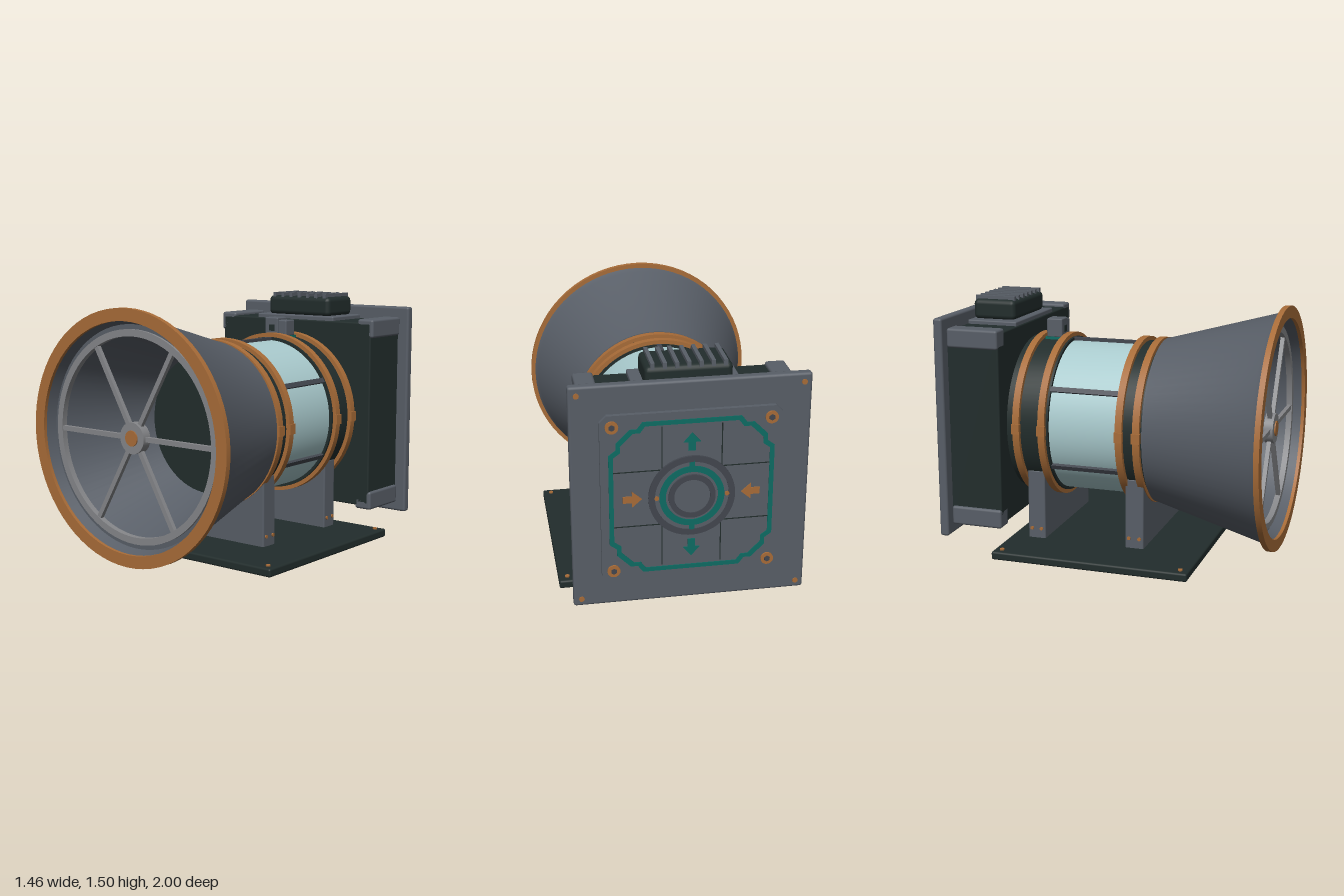
import * as THREE from 'three';
import { toCreasedNormals } from 'three/addons/utils/BufferGeometryUtils.js';
import { RoundedBoxGeometry } from 'three/addons/geometries/RoundedBoxGeometry.js';

const AXIS = 0.755; // height of the barrel axis
const paint = (name, color) => Object.assign(new THREE.MeshStandardMaterial({ color }), { name });

export function createModel() {
  const steel = paint('slate steel', 0x585e67);
  const frame = paint('dark frame steel', 0x42464e);
  const dark = paint('dark green casing', 0x222d2c);
  const copper = paint('copper', 0xa86c38);
  const glass = paint('pale glass', 0xa9cacd);
  const silver = paint('silver', 0x858689);
  const teal = paint('teal', 0x0d6c63);

  const model = new THREE.Group();
  const add = (name, geo, mat, x = 0, y = 0, z = 0, parent = model) => {
    const mesh = new THREE.Mesh(geo, mat);
    mesh.name = name;
    mesh.position.set(x, y, z);
    parent.add(mesh);
    return mesh;
  };
  // Box given by its limits, with softly rounded edges when r > 0
  const box = (name, mat, [x0, x1], [y0, y1], [z0, z1], r = 0) => {
    const s = [x1 - x0, y1 - y0, z1 - z0];
    const geo = r ? new RoundedBoxGeometry(...s, 2, r) : new THREE.BoxGeometry(...s);
    return add(name, geo, mat, (x0 + x1) / 2, (y0 + y1) / 2, (z0 + z1) / 2);
  };
  // Surface of revolution about the barrel axis; points are [radius, z]
  const turned = (name, mat, points, segments = 72) => {
    const geo = new THREE.LatheGeometry(points.map(([r, z]) => new THREE.Vector2(r, z)), segments);
    return add(name, toCreasedNormals(geo.rotateX(Math.PI / 2), 0.5), mat, 0, AXIS, 0);
  };
  const ring = (name, mat, inner, outer, z0, z1) =>
    turned(name, mat, [[inner, z0], [outer, z0], [outer, z1], [inner, z1], [inner, z0]]);
  const disc = (name, mat, r, z0, z1, x = 0, y = AXIS, sides = 48) =>
    add(name, new THREE.CylinderGeometry(r, r, z1 - z0, sides).rotateX(Math.PI / 2), mat, x, y, (z0 + z1) / 2);
  const shapeOf = (pts) => new THREE.Shape(pts.map(([x, y]) => new THREE.Vector2(x, y)));
  const plate = (name, mat, shape, z0, z1, x = 0, y = AXIS) =>
    add(name, new THREE.ExtrudeGeometry(shape, { depth: z1 - z0, bevelEnabled: false }), mat, x, y, z0);

  // Base plate with corner screws
  box('basePlate', dark, [-0.71, 0.71], [0, 0.05], [-0.6, 0.6], 0.012);
  for (const x of [-0.66, 0.66]) for (const z of [-0.55, 0.55])
    add('baseScrew', new THREE.CylinderGeometry(0.014, 0.014, 0.012, 12), copper, x, 0.052, z);

  // Support saddles under the barrel
  for (const [z0, z1] of [[0.13, 0.245], [-0.49, -0.38]]) {
    box('support', steel, [-0.39, 0.39], [0.04, 0.477], [z0, z1], 0.01);
    for (const x of [-0.391, 0.391]) for (const z of [z0 + 0.025, z1 - 0.025])
      add('supportBolt', new THREE.CylinderGeometry(0.011, 0.011, 0.012, 10).rotateZ(Math.PI / 2), copper, x, 0.11, z);
  }

  // Horn: outer wall, inner wall, back disc and rim
  turned('hornOuter', steel, [[0.47, 0.265], [0.503, 0.265], [0.505, 0.28], [0.685, 0.935], [0.705, 0.97]]);
  turned('hornInner', steel, [[0.66, 0.985], [0.42, 0.3]]);
  disc('hornBackDisc', dark, 0.43, 0.28, 0.302);
  ring('hornRim', copper, 0.658, 0.73, 0.968, 1);

  // Spoked guard inside the mouth
  ring('guardRing', silver, 0.57, 0.61, 0.9, 0.935);
  ring('guardSeat', steel, 0.605, 0.65, 0.9, 0.92);
  disc('guardHub', silver, 0.09, 0.89, 0.945);
  disc('guardCap', copper, 0.045, 0.94, 0.952);
  for (let i = 0; i < 6; i++) {
    const a = i * Math.PI / 3;
    const spoke = add('guardSpoke', new THREE.BoxGeometry(0.51, 0.028, 0.025), silver,
      0.33 * Math.cos(a), AXIS + 0.33 * Math.sin(a), 0.918);
    spoke.rotation.z = a;
  }

  // Barrel: two dark collars and the glass section with its bars
  turned('frontCollar', dark, [[0.44, 0.1], [0.48, 0.1], [0.48, 0.27], [0.44, 0.27]]);
  turned('rearCollar', dark, [[0.44, -0.6], [0.48, -0.6], [0.48, -0.32], [0.44, -0.32]]);
  turned('glassTube', glass, [[0.462, -0.33], [0.462, 0.11]]);
  for (let i = 0; i < 6; i++) {
    const a = Math.PI / 6 + i * Math.PI / 3;
    const bar = add('glassBar', new THREE.BoxGeometry(0.03, 0.03, 0.43), frame,
      0.465 * Math.cos(a), AXIS + 0.465 * Math.sin(a), -0.11);
    bar.rotation.z = a;
  }

  // Copper clamp rings with small side lugs
  for (const z of [0.23, 0.125, -0.355, -0.515]) {
    ring('clampRing', copper, 0.47, 0.505, z - 0.021, z + 0.021);
    for (const x of [-0.498, 0.498])
      add('clampLug', new THREE.BoxGeometry(0.03, 0.06, 0.05), copper, x, AXIS, z);
  }

  // Sensor block on top of the rear collar
  box('sensorSeal', teal, [-0.085, 0.085], [1.225, 1.243], [-0.482, -0.368]);
  box('sensorBlock', steel, [-0.08, 0.02], [1.24, 1.355], [-0.475, -0.375], 0.008);
  box('sensorStep', steel, [0.015, 0.08], [1.24, 1.34], [-0.475, -0.385], 0.008);
  box('sensorFace', dark, [-0.045, -0.005], [1.27, 1.31], [-0.377, -0.37]);

  // Rear housing with corner guards
  box('housing', dark, [-0.585, 0.585], [0.175, 1.335], [-0.91, -0.58], 0.01);
  for (const x of [-1, 1]) for (const y of [-1, 1]) {
    const guard = add('cornerGuard', new RoundedBoxGeometry(0.115, 0.115, 0.32, 2, 0.015), steel,
      x * 0.543, AXIS + y * 0.543, -0.74);
    guard.name = 'cornerGuard';
  }

  // Cooler on the housing roof
  box('coolerPlate', steel, [-0.3, 0.3], [1.325, 1.36], [-0.9, -0.585], 0.008);
  box('coolerBody', dark, [-0.24, 0.24], [1.355, 1.478], [-0.89, -0.62], 0.03);
  for (let i = -3; i <= 3; i++)
    box('coolerFin', steel, [i * 0.066 - 0.011, i * 0.066 + 0.011], [1.44, 1.498], [-0.885, -0.63]);

  // Back plate, screws and raised panel
  box('backPlate', steel, [-0.66, 0.66], [0.095, 1.42], [-0.955, -0.9], 0.015);
  const p = 0.5, c = 0.04;
  plate('backPanel', steel, shapeOf([[p, p - c], [p - c, p], [c - p, p], [-p, p - c],
    [-p, c - p], [c - p, -p], [p - c, -p], [p, c - p]]), -0.98, -0.95);
  for (const x of [-1, 1]) for (const y of [-1, 1]) {
    disc('plateScrew', copper, 0.016, -0.96, -0.95, x * 0.615, AXIS + y * 0.615, 12);
    disc('panelScrew', copper, 0.036, -0.99, -0.975, x * 0.435, AXIS + y * 0.435, 20);
    disc('panelScrewSlot', frame, 0.018, -0.993, -0.985, x * 0.435, AXIS + y * 0.435, 6);
  }

  // Dark seams across the panel
  for (const s of [-0.165, 0.165]) {
    box('panelSeam', dark, [s - 0.003, s + 0.003], [AXIS - 0.42, AXIS + 0.42], [-0.982, -0.978]);
    box('panelSeam', dark, [-0.43, 0.43], [AXIS + s - 0.003, AXIS + s + 0.003], [-0.982, -0.978]);
  }

  // Notched teal border
  const quarter = [[0.455, 0.27], [0.415, 0.3], [0.415, 0.34], [0.34, 0.415], [0.3, 0.415], [0.27, 0.455]];
  const flip = (sx, sy) => quarter.map(([x, y]) => [x * sx, y * sy]);
  const outline = [...flip(1, 1), ...flip(-1, 1).reverse(), ...flip(-1, -1), ...flip(1, -1).reverse()];
  const border = shapeOf(outline);
  border.holes.push(shapeOf(outline.map(([x, y]) => [x * 0.945, y * 0.945])));
  plate('panelBorder', teal, border, -0.985, -0.979);

  // Arrows: teal point outward, copper point inward
  const arrow = shapeOf([[-0.02, -0.05], [0.02, -0.05], [0.02, 0], [0.048, 0], [0, 0.055], [-0.048, 0], [-0.02, 0]]);
  for (const s of [-1, 1]) {
    plate('verticalArrow', teal, arrow, -0.985, -0.979, 0, AXIS + s * 0.32).rotation.z = s > 0 ? 0 : Math.PI;
    plate('sideArrow', copper, arrow, -0.985, -0.979, s * 0.33, AXIS).rotation.z = s * Math.PI / 2;
  }

  // Round port in the middle of the panel
  ring('portRim', frame, 0.205, 0.24, -0.993, -0.97);
  disc('portFloor', steel, 0.21, -0.988, -0.97);
  ring('portTealRing', teal, 0.145, 0.18, -0.993, -0.986);
  ring('portInnerRing', frame, 0.1, 0.13, -1, -0.98);
  disc('portCentre', steel, 0.102, -0.993, -0.98);
  for (const s of [-0.195, 0.195]) {
    disc('portDot', copper, 0.013, -0.994, -0.986, s, AXIS, 12);
    box('portMark', teal, [-0.015, 0.015], [AXIS + s - 0.018, AXIS + s + 0.018], [-0.993, -0.986]);
  }

  return model;
}
